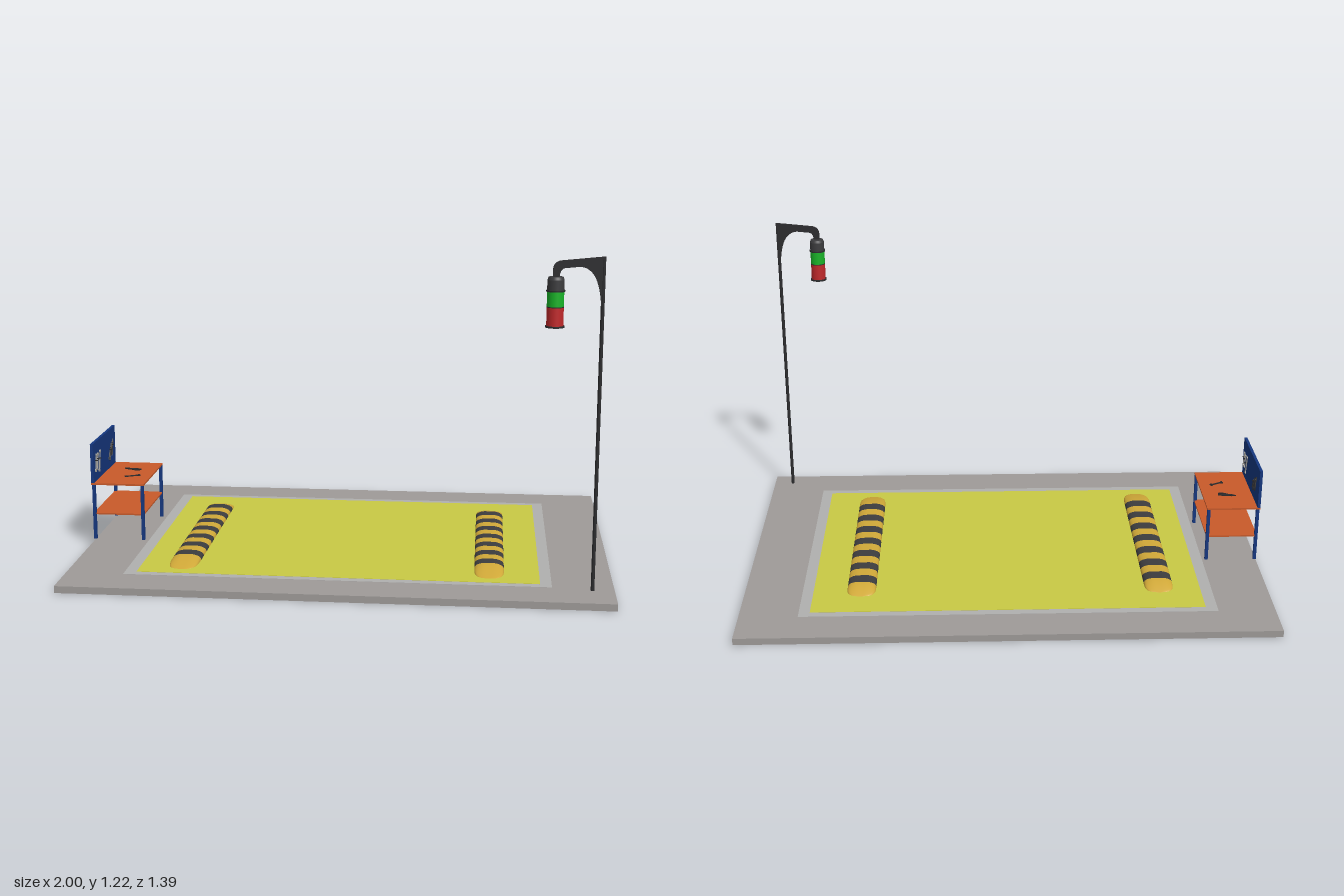
import * as THREE from 'three';

const paint = (color) => new THREE.MeshStandardMaterial({ color, side: THREE.DoubleSide });
const M = {
  concrete: paint(0x9e9a98), border: paint(0xb0afae), floor: paint(0xc8c944),
  yellow: paint(0xd0a838), dark: paint(0x3c3c3e), black: paint(0x2b2b2d),
  blue: paint(0x15377f), orange: paint(0xc85a2a), steel: paint(0x9c9a96),
  green: paint(0x18b428), red: paint(0xc0282a),
};
const SLAB = 0.026;

function add(parent, name, geo, mat, x = 0, y = 0, z = 0) {
  const mesh = new THREE.Mesh(geo, mat);
  mesh.name = name;
  mesh.position.set(x, y, z);
  parent.add(mesh);
  return mesh;
}
const box = (parent, name, mat, w, h, d, x, y, z) =>
  add(parent, name, new THREE.BoxGeometry(w, h, d), mat, x, y, z);

function group(parent, name) {
  const g = new THREE.Group();
  g.name = name;
  parent.add(g);
  return g;
}

// Speed bump: rounded cross-sections that shrink towards both ends
const Z0 = -0.405, Z1 = 0.472, FLAT0 = -0.328, FLAT1 = 0.355;
function bumpSection(z) {
  const t = z < FLAT0 ? (FLAT0 - z) / (FLAT0 - Z0) : z > FLAT1 ? (z - FLAT1) / (Z1 - FLAT1) : 0;
  const w = 0.055 * Math.sqrt(Math.max(0, 1 - Math.pow(t, 4)));
  const h = 0.024 * (1 - 0.97 * Math.pow(t, 1.4));
  return { w, h };
}
function bumpGeometry(a, b, steps) {
  const pos = [], idx = [], N = 16;
  for (let i = 0; i <= steps; i++) {
    const z = a + (b - a) * i / steps, { w, h } = bumpSection(z);
    for (let j = 0; j <= N; j++) {
      const ang = Math.PI * j / N, c = Math.cos(ang);
      const s = Math.pow(Math.max(0, Math.sin(ang)), 0.75);
      pos.push(w * c, SLAB + h * Math.min(1, s * 1.06), z);
    }
  }
  for (let i = 0; i < steps; i++) for (let j = 0; j < N; j++) {
    const p = i * (N + 1) + j, q = p + N + 1;
    idx.push(p, q, p + 1, p + 1, q, q + 1);
  }
  const g = new THREE.BufferGeometry();
  g.setAttribute('position', new THREE.Float32BufferAttribute(pos, 3));
  g.setIndex(idx.map((_, k) => idx[k - k % 3 + [0, 2, 1][k % 3]]));
  g.computeVertexNormals();
  // keep the normals pointing up whatever the winding
  const n = g.attributes.normal;
  if (n.getY(Math.floor(N / 2)) < 0) { g.setIndex(idx); g.computeVertexNormals(); }
  return g;
}
function speedBump(parent, name, x) {
  const g = group(parent, name);
  g.position.x = x;
  add(g, 'bumpBackEnd', bumpGeometry(Z0, FLAT0, 10), M.yellow);
  add(g, 'bumpFrontEnd', bumpGeometry(FLAT1, Z1, 12), M.yellow);
  const step = (FLAT1 - FLAT0) / 13;
  for (let i = 0; i < 13; i++) {
    const a = FLAT0 + i * step;
    add(g, 'bumpStripe', bumpGeometry(a, a + step, 1), i % 2 ? M.yellow : M.dark);
  }
}

// Flat tools lying in the xy plane, centred on the origin, length along y
const flat = (shape) => new THREE.ExtrudeGeometry(shape, { depth: 0.004, bevelEnabled: false, curveSegments: 8 });
function wrench(length, mat) {
  const g = new THREE.Group();
  g.name = 'wrench';
  const h = length / 2, r = 0.007;
  box(g, 'wrenchHandle', mat, 0.005, length - 3 * r, 0.004, 0, 0, 0.002);
  for (const s of [1, -1]) {
    // open jaw
    const jaw = new THREE.Shape();
    jaw.absarc(0, 0, r, 2.1, 2 * Math.PI + 1.04, false);
    jaw.lineTo(0.003, 0);
    jaw.lineTo(-0.003, 0);
    add(g, 'wrenchJaw', flat(jaw), mat, 0, s * (h - r), 0).rotation.z = s > 0 ? 0 : Math.PI;
  }
  return g;
}
function pliers(length, mat) {
  const g = new THREE.Group();
  g.name = 'pliers';
  for (const s of [1, -1]) {
    const arm = new THREE.Shape();
    arm.moveTo(s * 0.001, length / 2);
    arm.lineTo(s * 0.006, length * 0.25);
    arm.lineTo(-s * 0.004, length * 0.1);
    arm.quadraticCurveTo(-s * 0.014, -length * 0.15, -s * 0.009, -length / 2);
    arm.lineTo(-s * 0.004, -length / 2);
    arm.quadraticCurveTo(-s * 0.008, -length * 0.15, s * 0.004, length * 0.1);
    add(g, 'pliersArm', flat(arm), mat);
  }
  return g;
}

function workbench(parent) {
  const g = group(parent, 'workbench');
  for (const z of [-0.161, 0.161]) {
    box(g, 'frontLeg', M.blue, 0.012, 0.222, 0.012, -0.798, 0.151, z);
    box(g, 'backLeg', M.blue, 0.012, 0.222, 0.012, -0.99, 0.151, z);
  }
  box(g, 'tableTop', M.orange, 0.208, 0.007, 0.336, -0.895, 0.2625, 0);
  box(g, 'lowerShelf', M.orange, 0.2, 0.006, 0.328, -0.894, 0.142, 0);
  box(g, 'toolPanel', M.blue, 0.011, 0.16, 0.336, -0.9935, 0.342, 0);

  // tools hanging on the panel: [tool, y, z, tilt]
  const hanging = [
    [wrench(0.075, M.steel), 0.34, 0.136, -0.25], [wrench(0.07, M.steel), 0.341, 0.112, -0.22],
    [wrench(0.09, M.steel), 0.336, 0.083, -0.25], [pliers(0.07, M.dark), 0.345, -0.108, -0.4],
    [pliers(0.07, M.dark), 0.332, -0.08, -0.5],
  ];
  for (const [tool, y, z, tilt] of hanging) {
    const hook = group(g, 'hangingTool');
    hook.position.set(-0.987, y, z);
    hook.rotation.y = Math.PI / 2;
    tool.rotation.z = tilt;
    hook.add(tool);
    box(hook, 'hook', M.black, 0.004, 0.004, 0.01, 0, 0.01, 0.004);
  }
  // tools lying on the table: [tool, x, z, turn]
  const lying = [[pliers(0.07, M.black), -0.887, -0.052, 1.3], [wrench(0.065, M.black), -0.862, 0.053, -1.1]];
  for (const [tool, x, z, turn] of lying) {
    const rest = group(g, 'tableTool');
    rest.position.set(x, 0.267, z);
    rest.rotation.x = -Math.PI / 2;
    tool.rotation.z = turn;
    rest.add(tool);
  }
}

function signalLamp(parent) {
  const g = group(parent, 'signalLamp');
  g.position.z = 0.597;
  add(g, 'pole', new THREE.CylinderGeometry(0.0065, 0.0065, 1.17, 16), M.black, 0.918, 0.625, 0);

  // curved bracket arm
  const arm = new THREE.Shape();
  arm.moveTo(0.924, 1.22);
  arm.lineTo(0.775, 1.205);
  arm.quadraticCurveTo(0.748, 1.2, 0.748, 1.17);
  arm.lineTo(0.748, 1.14);
  arm.lineTo(0.77, 1.14);
  arm.quadraticCurveTo(0.77, 1.178, 0.79, 1.18);
  arm.lineTo(0.84, 1.185);
  arm.quadraticCurveTo(0.905, 1.18, 0.913, 1.05);
  arm.lineTo(0.924, 1.05);
  const armGeo = new THREE.ExtrudeGeometry(arm, { depth: 0.011, bevelEnabled: false });
  add(g, 'bracketArm', armGeo, M.black, 0, 0, -0.0055);

  // stacked light housing: [name, material, top radius, bottom radius, bottom, top]
  const stack = [
    ['capShoulder', M.dark, 0.025, 0.029, 1.14, 1.15], ['cap', M.dark, 0.029, 0.029, 1.105, 1.14],
    ['upperRing', M.black, 0.032, 0.032, 1.1, 1.105], ['greenLight', M.green, 0.029, 0.029, 1.049, 1.1],
    ['middleRing', M.black, 0.03, 0.03, 1.046, 1.049], ['redLight', M.red, 0.029, 0.029, 0.983, 1.046],
    ['lowerRing', M.black, 0.033, 0.033, 0.977, 0.983],
  ];
  for (const [name, mat, rt, rb, y0, y1] of stack)
    add(g, name, new THREE.CylinderGeometry(rt, rb, y1 - y0, 32), mat, 0.759, (y0 + y1) / 2, 0);
}

export function createModel() {
  const model = new THREE.Group();
  model.name = 'serviceBay';
  // ground slab with painted bay
  box(model, 'slab', M.concrete, 2, SLAB, 1.386, 0, SLAB / 2, 0);
  box(model, 'bayBorder', M.border, 1.565, 0.001, 1.085, -0.003, SLAB + 0.0005, -0.003);
  box(model, 'bayFloor', M.floor, 1.48, 0.001, 1.025, -0.002, SLAB + 0.0015, -0.003);

  speedBump(model, 'rightSpeedBump', -0.585);
  speedBump(model, 'leftSpeedBump', 0.555);
  workbench(model);
  signalLamp(model);
  return model;
}
